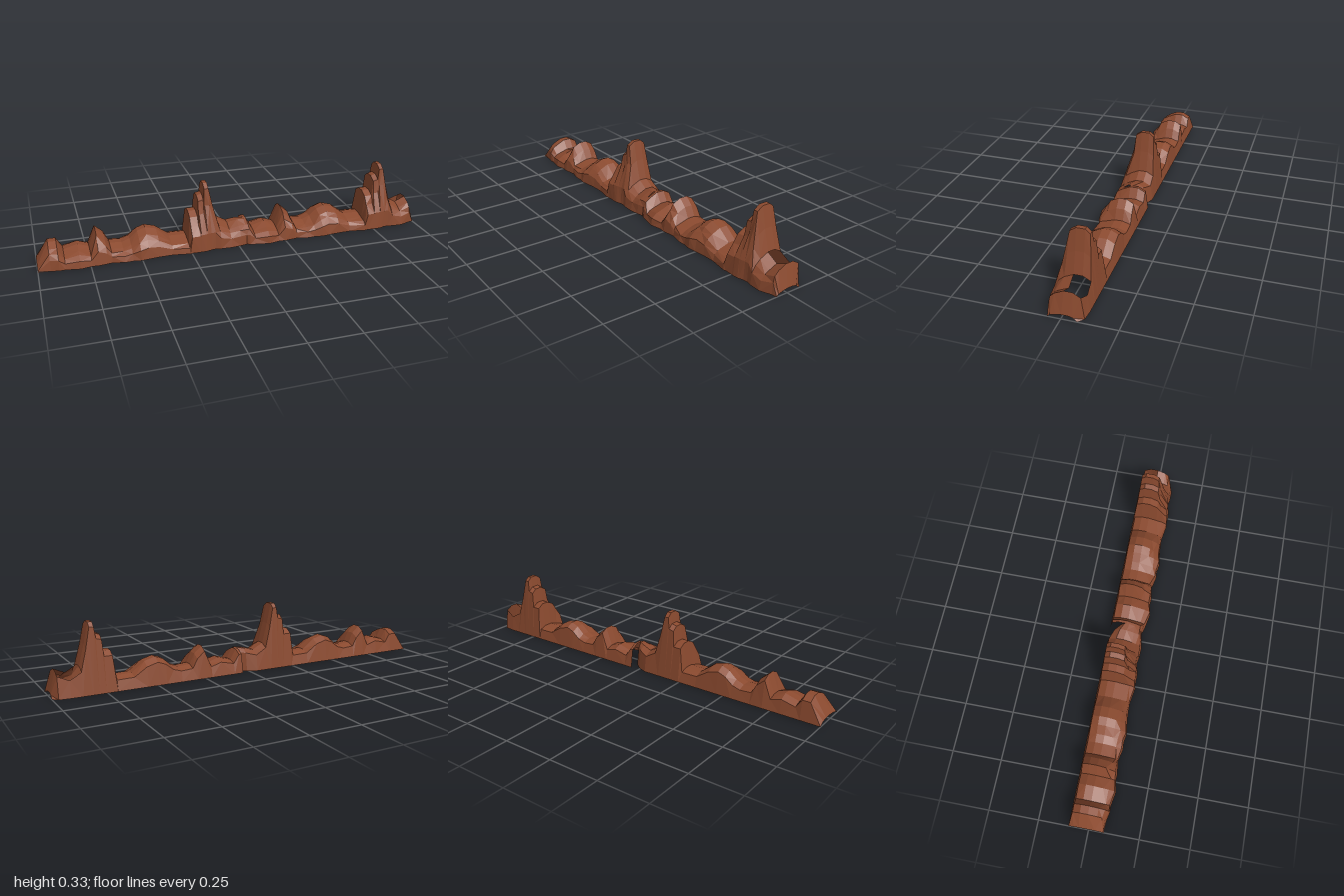
import * as THREE from 'three';

const rock = new THREE.MeshStandardMaterial({ color: 0x8b4a2f, flatShading: true, side: THREE.DoubleSide });
rock.name = 'red rock';

// Skyline of one stretch of rock: [x, height]
const skyline = [
  [-0.94, 0.115], [-0.9, 0.115], [-0.87, 0.065], [-0.8, 0.085], [-0.745, 0.065], [-0.71, 0.155],
  [-0.67, 0.12], [-0.645, 0.07], [-0.585, 0.065], [-0.545, 0.08], [-0.505, 0.115], [-0.465, 0.13],
  [-0.41, 0.115], [-0.345, 0.067], [-0.26, 0.065], [-0.245, 0.19], [-0.205, 0.19], [-0.198, 0.268],
  [-0.172, 0.275], [-0.165, 0.33], [-0.143, 0.33], [-0.122, 0.23], [-0.095, 0.13], [-0.04, 0.1],
];
const PERIOD = 0.96;

// Uneven foot of the front slope
const foot = (x) => 0.087 + 0.006 * Math.sin(x * 23 + 1) + 0.004 * Math.sin(x * 61);

// Cross-section from the front foot, over the ridge, to the back foot
function section(x, h, front, back = -0.1) {
  const t = THREE.MathUtils.clamp((h - 0.1) / 0.23, 0, 1);
  const shift = back + 0.1;
  const wobble = 0.006 * Math.sin(x * 47);
  const lip = Math.min(0.02, h * 0.2);
  const mid = THREE.MathUtils.lerp(0.06, 0.035, t) + wobble;
  return [
    [x, 0, front],
    [x, Math.min(0.09, h * 0.45), front - 0.006 + wobble * 0.5],
    [x, h * 0.68, Math.min(mid, front - 0.01)],
    [x, h - lip, THREE.MathUtils.lerp(0.035, 0.02, t)],
    [x, h, -0.01 + shift * 0.3],
    [x, h, -0.05 + shift * 0.6],
    [x, h - lip, THREE.MathUtils.lerp(-0.088, -0.072, t) + shift],
    [x, 0, back],
  ];
}

// Low arch that closes an outer end
function arch(x, front, back) {
  const ys = [0, 0.004, 0.01, 0.017, 0.022, 0.022, 0.016, 0];
  const zs = [0, 0.03, 0.08, 0.25, 0.47, 0.7, 0.85, 1];
  return ys.map((y, i) => [x, y, THREE.MathUtils.lerp(front, back, zs[i])]);
}

// Skin a list of cross-sections; skip(i, j) leaves a panel open
function skin(name, sections, skip = () => false) {
  const positions = sections.flat(2);
  const n = sections[0].length;
  const index = [];
  for (let i = 0; i < sections.length - 1; i++) {
    for (let j = 0; j < n - 1; j++) {
      if (skip(i, j)) continue;
      const a = i * n + j, b = a + n;
      if ((i + j) % 2) index.push(a, b, b + 1, a, b + 1, a + 1);
      else index.push(a, b, a + 1, b, b + 1, a + 1);
    }
  }
  const geometry = new THREE.BufferGeometry();
  geometry.setAttribute('position', new THREE.Float32BufferAttribute(positions, 3));
  geometry.setIndex(index);
  geometry.computeVertexNormals();
  const mesh = new THREE.Mesh(geometry, rock);
  mesh.name = name;
  return mesh;
}

export function createModel() {
  const group = new THREE.Group();
  group.name = 'rockRidge';

  // Right stretch, tapering at the back where it meets its neighbour
  const first = [
    arch(-1, 0.075, -0.1),
    ...skyline.map(([x, h]) => section(x, h, foot(x))),
    section(0.01, 0.112, 0.078, -0.08),
    section(0.045, 0.115, 0.07, -0.05),
  ];
  group.add(skin('rightRidge', first));

  // Left stretch, with an open top beyond the last spire
  const second = [
    section(0.045, 0.115, 0.07),
    section(0.06, 0.115, 0.078),
    ...skyline.slice(2).map(([x, h]) => section(x + PERIOD, h, foot(x))),
    section(0.975, 0.125, 0.064, -0.095),
    arch(1, 0.06, -0.072),
  ];
  const openFrom = second.length - 4;
  group.add(skin('leftRidge', second, (i, j) =>
    i >= openFrom && i < second.length - 2 && (j === 4 || j === 5)));

  return group;
}
